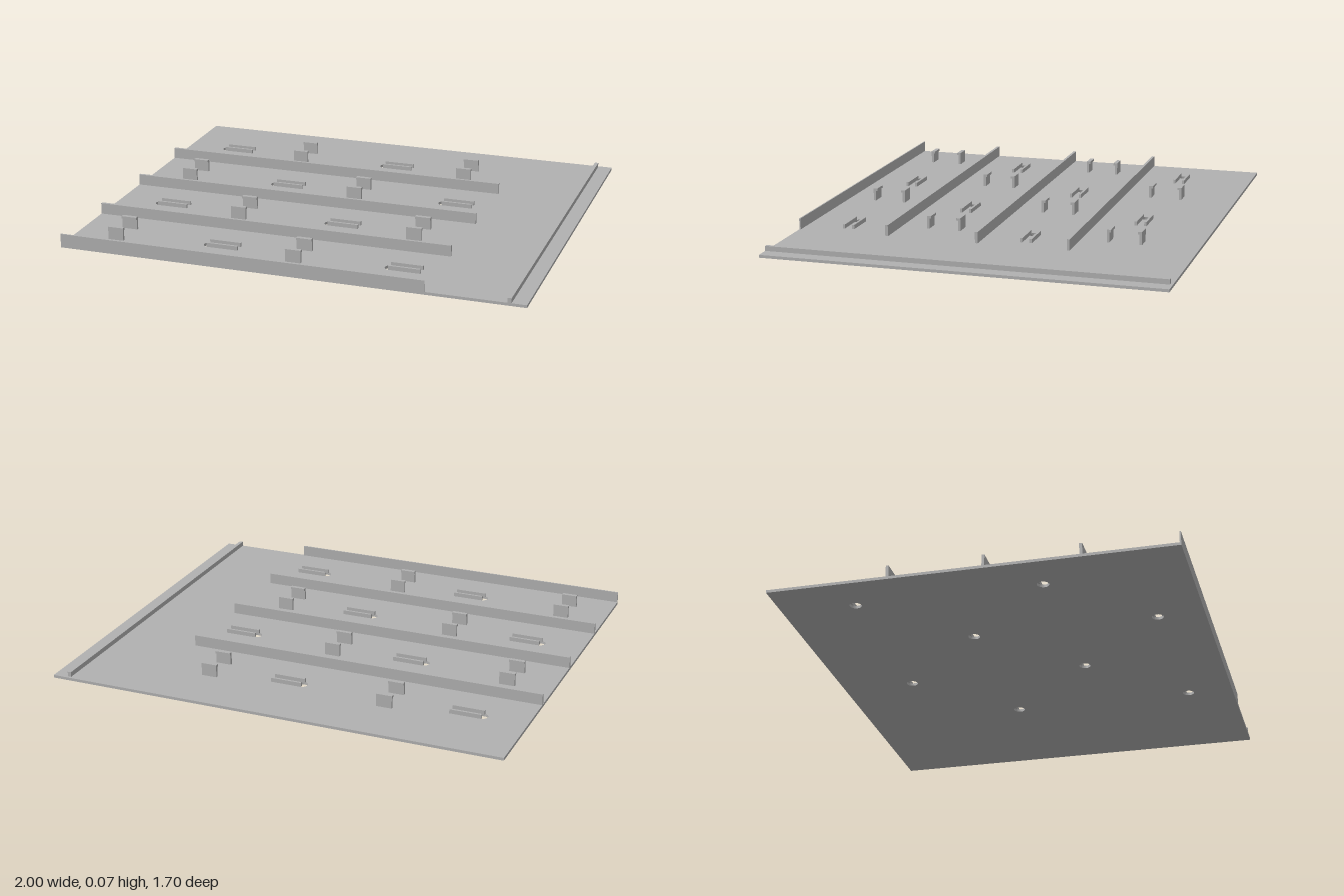
import * as THREE from 'three';

export function createModel() {
  const model = new THREE.Group();
  model.name = 'mountingPlate';
  const grey = new THREE.MeshStandardMaterial({ color: 0xb0b0b0 });
  grey.name = 'plain grey';

  const T = 0.012; // plate thickness
  const columns = [-0.805, -0.408, -0.011, 0.386];
  const rows = [-0.534, -0.138, 0.257, 0.652];
  const hasHole = (r, c) => (r + c) % 2 === 0;

  // Box given by its limits on each axis
  function slab(name, x0, x1, y0, y1, z0, z1, parent = model) {
    const mesh = new THREE.Mesh(new THREE.BoxGeometry(x1 - x0, y1 - y0, z1 - z0), grey);
    mesh.position.set((x0 + x1) / 2, (y0 + y1) / 2, (z0 + z1) / 2);
    mesh.name = name;
    parent.add(mesh);
  }

  // Base plate with round through holes
  const outline = new THREE.Shape([[-1, -0.85], [1, -0.85], [1, 0.85], [-1, 0.85]]
    .map(([x, y]) => new THREE.Vector2(x, y)));
  rows.forEach((z, r) => columns.forEach((x, c) => {
    if (hasHole(r, c)) outline.holes.push(new THREE.Path().absarc(x, -z, 0.025, 0, Math.PI * 2, true));
  }));
  const plateGeometry = new THREE.ExtrudeGeometry(outline, { depth: T, bevelEnabled: false, curveSegments: 24 });
  plateGeometry.rotateX(-Math.PI / 2);
  const plate = new THREE.Mesh(plateGeometry, grey);
  plate.name = 'basePlate';
  model.add(plate);

  // Long dividing ribs; the front one is cut flush with the plate edge
  for (let i = 0; i < 4; i++) {
    const z = 0.85 - 0.396 * i;
    slab('rib', -1, 0.585, T, 0.06, z - 0.006, Math.min(z + 0.006, 0.85));
  }

  // Low stop bar along the right-hand edge
  slab('stopBar', 0.922, 0.938, T, 0.033, -0.838, 0.85);

  // Hooked clip: upright with a lip pointing inward
  const hookProfile = new THREE.Shape([[0.075, 0], [0.075, 0.068], [0.057, 0.068], [0.057, 0.056],
    [0.064, 0.056], [0.064, 0]].map(([x, y]) => new THREE.Vector2(x, y)));
  const hookGeometry = new THREE.ExtrudeGeometry(hookProfile, { depth: 0.068, bevelEnabled: false });
  hookGeometry.translate(0, T / 2, -0.034).scale(1, 0.91, 1);

  rows.forEach((z, r) => columns.forEach((x, c) => {
    const station = new THREE.Group();
    station.position.set(x, 0, z);
    station.name = hasHole(r, c) ? 'holeGuide' : 'clipPair';
    for (const side of [-1, 1]) {
      if (hasHole(r, c)) {
        // Paired guide rails running from each hole
        const a = side * 0.016, b = side * 0.026;
        slab('guideRail', -0.005, 0.132, T, 0.03, Math.min(a, b), Math.max(a, b), station);
      } else {
        const hook = new THREE.Mesh(hookGeometry, grey);
        hook.rotation.y = -side * Math.PI / 2;
        hook.name = 'hookClip';
        station.add(hook);
      }
    }
    model.add(station);
  }));

  return model;
}
